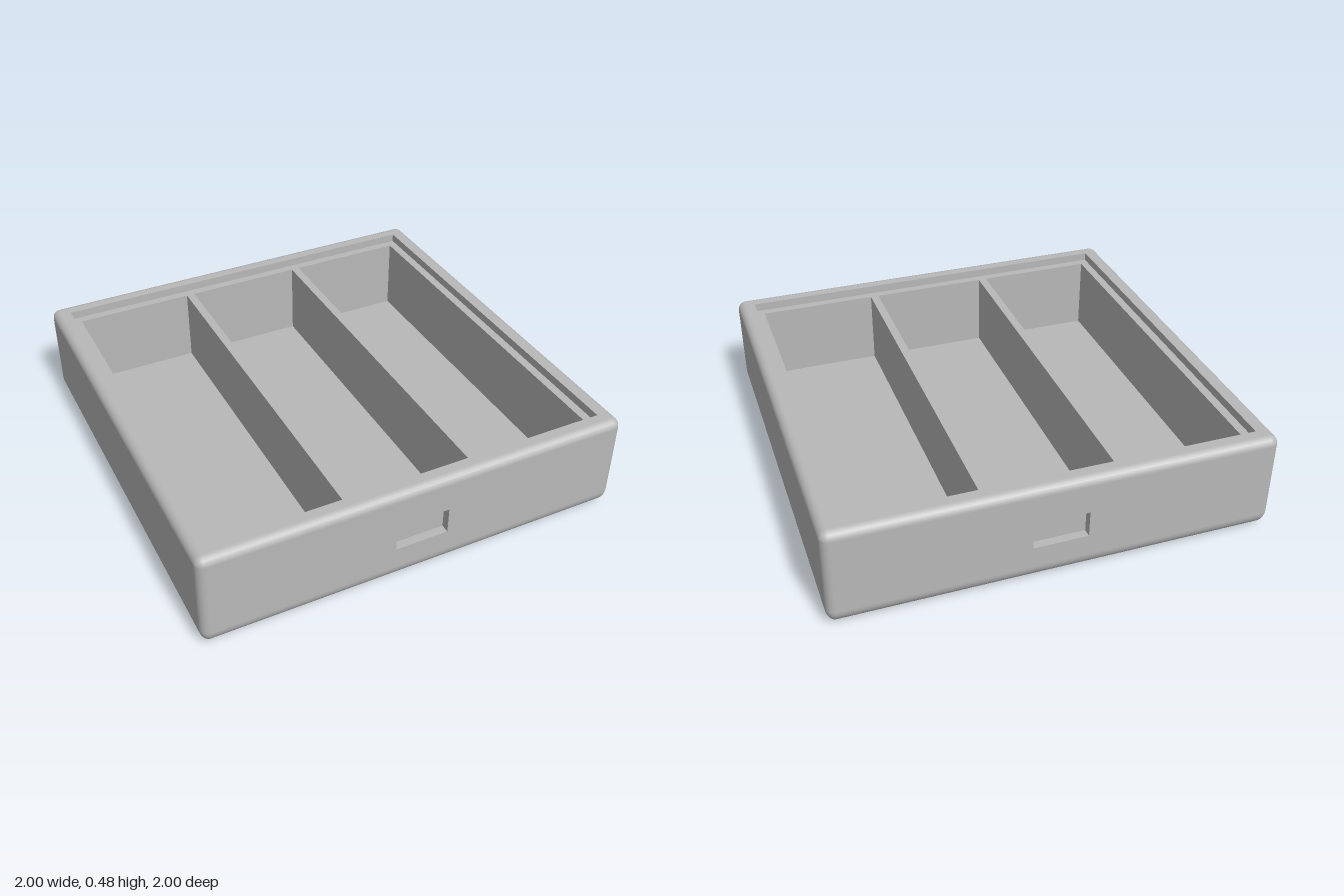
import * as THREE from 'three';

const HEIGHT = 0.48, CORNER = 0.04, BOTTOM_R = 0.08, TOP_R = 0.04;
const LEDGE_Y = 0.44, FLOOR_Y = 0.08, ARC = 6;
const NOTCH = { w: 0.25, y0: 0.18, y1: 0.305, depth: 0.04 };

// Rectangle outline, usable as a shape or as a hole
function rect(x0, y0, x1, y1, Type = THREE.Shape) {
  const s = new Type();
  s.moveTo(x0, y0);
  s.lineTo(x1, y0);
  s.lineTo(x1, y1);
  s.lineTo(x0, y1);
  s.closePath();
  return s;
}

// Flat plate with rectangular holes, facing +z
function plate(outer, holes) {
  const shape = rect(...outer);
  for (const h of holes) shape.holes.push(rect(...h, THREE.Path));
  return new THREE.ShapeGeometry(shape);
}

// Inward-facing box, open at +y and optionally without a floor
function well(w, h, d, floor = true) {
  const g = new THREE.BoxGeometry(w, h, d);
  const src = Array.from(g.index.array);
  const keep = [...src.slice(0, 12), ...(floor ? src.slice(18, 24) : []), ...src.slice(24)];
  for (let i = 0; i < keep.length; i += 3) [keep[i], keep[i + 1]] = [keep[i + 1], keep[i]];
  g.setIndex(keep);
  g.clearGroups();
  const n = g.attributes.normal;
  for (let i = 0; i < n.array.length; i++) n.array[i] *= -1;
  return g;
}

// Outer skin: rounded-square rings swept up a filleted profile
function skin() {
  const profile = [];
  for (let i = 0; i <= 8; i++) {
    const a = (i / 8 - 1) * Math.PI / 2;
    profile.push([BOTTOM_R * (1 - Math.cos(a)), BOTTOM_R + BOTTOM_R * Math.sin(a), a]);
  }
  const flatBand = profile.length - 1;
  for (let i = 0; i <= 6; i++) {
    const a = i / 6 * Math.PI / 2;
    profile.push([TOP_R * (1 - Math.cos(a)), HEIGHT - TOP_R + TOP_R * Math.sin(a), a]);
  }
  const pos = [], nor = [], idx = [], count = 4 * (ARC + 1);
  for (const [inset, y, tilt] of profile) {
    const r = Math.max(CORNER - inset, 0), c = 1 - inset - r;
    for (let k = 0; k < 4; k++) {
      const sx = k === 0 || k === 3 ? 1 : -1, sz = k < 2 ? 1 : -1;
      for (let j = 0; j <= ARC; j++) {
        const a = (k + j / ARC) * Math.PI / 2;
        pos.push(sx * c + r * Math.cos(a), y, sz * c + r * Math.sin(a));
        nor.push(Math.cos(a) * Math.cos(tilt), Math.sin(tilt), Math.sin(a) * Math.cos(tilt));
      }
    }
  }
  for (let i = 0; i < profile.length - 1; i++) {
    for (let j = 0; j < count; j++) {
      // front and back flats are left open for the notched panels
      if (i === flatBand && (j === ARC || j === 3 * ARC + 2)) continue;
      const a = i * count + j, c = i * count + (j + 1) % count;
      idx.push(a, a + count, c, a + count, c + count, c);
    }
  }
  const g = new THREE.BufferGeometry();
  g.setAttribute('position', new THREE.Float32BufferAttribute(pos, 3));
  g.setAttribute('normal', new THREE.Float32BufferAttribute(nor, 3));
  g.setIndex(idx);
  return g;
}

export function createModel() {
  const model = new THREE.Group();
  model.name = 'dividedTray';
  const grey = new THREE.MeshStandardMaterial({ color: 0xb8b8b8 });
  grey.name = 'grey';
  const add = (name, geometry, parent = model) => {
    const mesh = new THREE.Mesh(geometry, grey);
    mesh.name = name;
    parent.add(mesh);
    return mesh;
  };

  // Outer body and underside
  add('outerShell', skin());
  const b = 1 - BOTTOM_R;
  add('underside', new THREE.PlaneGeometry(2 * b, 2 * b).rotateX(Math.PI / 2));

  // Front and back panels, each with a shallow finger notch
  const notchH = NOTCH.y1 - NOTCH.y0;
  for (const [side, turn] of [['front', 0], ['back', Math.PI]]) {
    const end = new THREE.Group();
    end.name = side + 'End';
    end.rotation.y = turn;
    model.add(end);
    add(side + 'Panel', plate(
      [-1 + CORNER, BOTTOM_R, 1 - CORNER, HEIGHT - TOP_R],
      [[-NOTCH.w / 2, NOTCH.y0, NOTCH.w / 2, NOTCH.y1]]
    ).translate(0, 0, 1), end);
    add(side + 'Notch', well(NOTCH.w, NOTCH.depth, notchH).rotateX(Math.PI / 2)
      .translate(0, (NOTCH.y0 + NOTCH.y1) / 2, 1 - NOTCH.depth / 2), end);
  }

  // Top rim, and the step down to the ledge
  const t = 1 - TOP_R;
  add('rim', plate([-t, -t, t, t], [[-0.92, -0.92, 0.92, 0.92]])
    .rotateX(-Math.PI / 2).translate(0, HEIGHT, 0));
  add('rimStep', well(1.84, HEIGHT - LEDGE_Y, 1.84, false)
    .translate(0, (HEIGHT + LEDGE_Y) / 2, 0));

  // Ledge and divider tops around three compartments
  const centres = [-0.6, 0, 0.6];
  add('ledgeAndDividers', plate([-0.92, -0.92, 0.92, 0.92],
    centres.map(x => [x - 0.28, -0.88, x + 0.28, 0.88])
  ).rotateX(-Math.PI / 2).translate(0, LEDGE_Y, 0));
  for (const x of centres) {
    add('compartment', well(0.56, LEDGE_Y - FLOOR_Y, 1.76)
      .translate(x, (LEDGE_Y + FLOOR_Y) / 2, 0));
  }
  return model;
}
